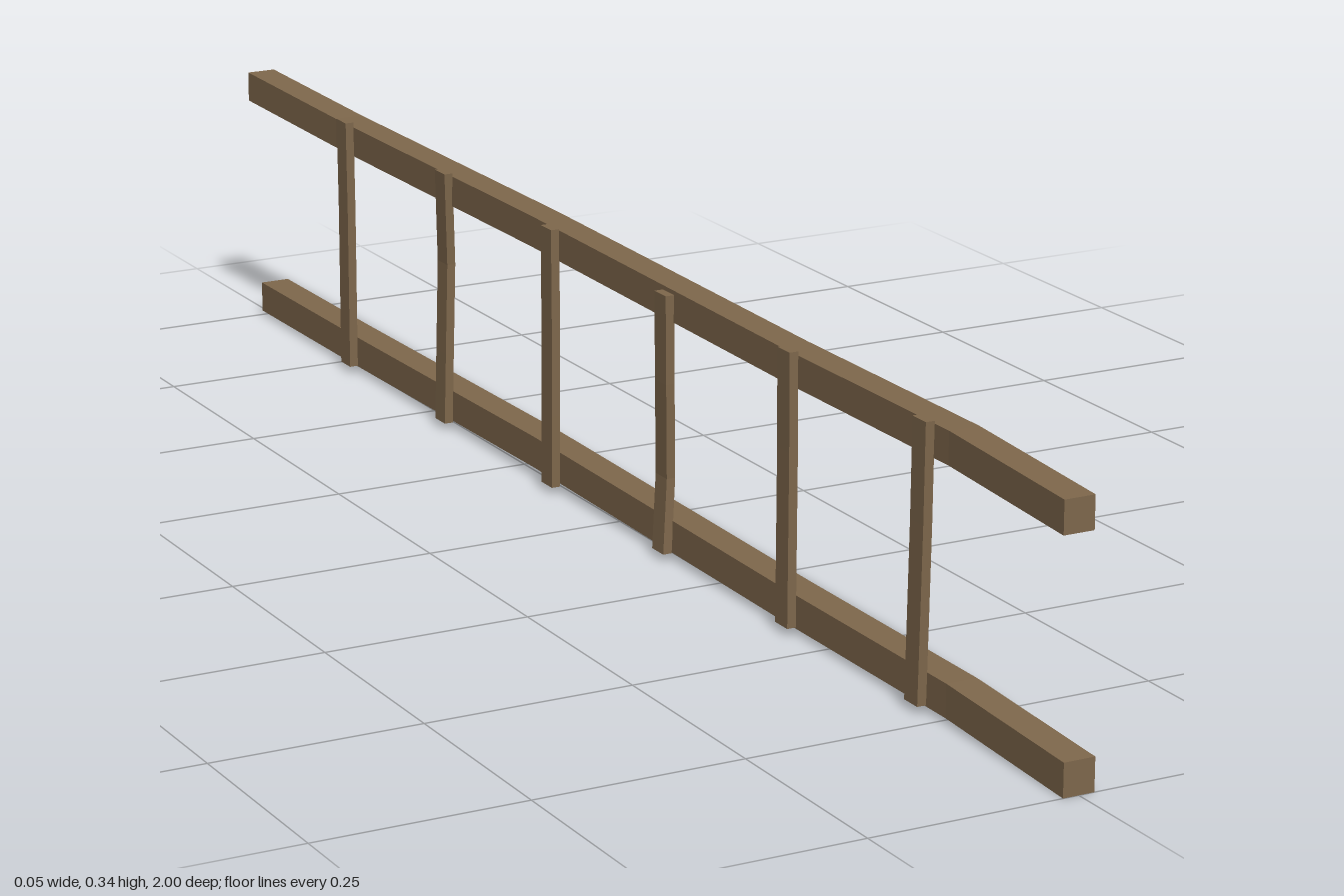
import * as THREE from 'three';

const wood = new THREE.MeshStandardMaterial({ color: 0x7f684c });
wood.name = 'weatheredWood';

// Rectangular beam along +z whose cross-sections sit on the given centre points.
function beam(name, width, height, points, upright = false) {
  const n = points.length - 1;
  const box = new THREE.BoxGeometry(width, height, n, 1, 1, n);
  if (upright) box.rotateX(-Math.PI / 2); // length now runs along y
  const pos = box.attributes.position;
  for (let i = 0; i < pos.count; i++) {
    const along = upright ? pos.getY(i) : pos.getZ(i);
    const [x, y, z] = points[Math.round(along + n / 2)];
    pos.setXYZ(i,
      pos.getX(i) + x,
      upright ? y : pos.getY(i) + y,
      upright ? pos.getZ(i) + z : z);
  }
  const geo = box.toNonIndexed();
  geo.computeVertexNormals();
  const mesh = new THREE.Mesh(geo, wood);
  mesh.name = name;
  return mesh;
}

export function createModel() {
  const ladder = new THREE.Group();
  ladder.name = 'ladder';

  // Slightly crooked side rails, listed from back to front
  ladder.add(beam('upperRail', 0.037, 0.038, [
    [-0.008, 0.317, -1], [0.003, 0.308, -0.75], [0.003, 0.311, -0.2],
    [0.003, 0.306, 0.4], [0.003, 0.308, 0.76], [-0.008, 0.304, 1],
  ]));
  ladder.add(beam('lowerRail', 0.038, 0.039, [
    [0.006, 0.026, -1], [0.006, 0.027, -0.75], [0.006, 0.033, -0.2],
    [0.006, 0.027, 0.4], [0.006, 0.027, 0.76], [0, 0.0205, 1],
  ]));

  // Rungs nailed to one side: z at bottom, z at top, top height, x bow low and high
  const rungs = [
    [-0.71, -0.71, 0.334, 0, 0],
    [-0.432, -0.424, 0.333, 0.002, 0.005],
    [-0.14, -0.138, 0.331, 0, 0],
    [0.141, 0.147, 0.322, 0.006, 0.002],
    [0.43, 0.431, 0.33, 0, 0],
    [0.709, 0.718, 0.33, 0, 0],
  ];
  rungs.forEach(([z0, z1, top, low, high], i) => {
    const z = (t) => z0 + (z1 - z0) * t;
    ladder.add(beam(`rung${i + 1}`, 0.011, 0.027, [
      [-0.02, 0.01, z0],
      [-0.02 + low, 0.1, z(0.3) - low * 0.8],
      [-0.02 + high, 0.215, z(0.65) - high * 0.8],
      [-0.021, top, z1],
    ], true));
  });
  return ladder;
}
